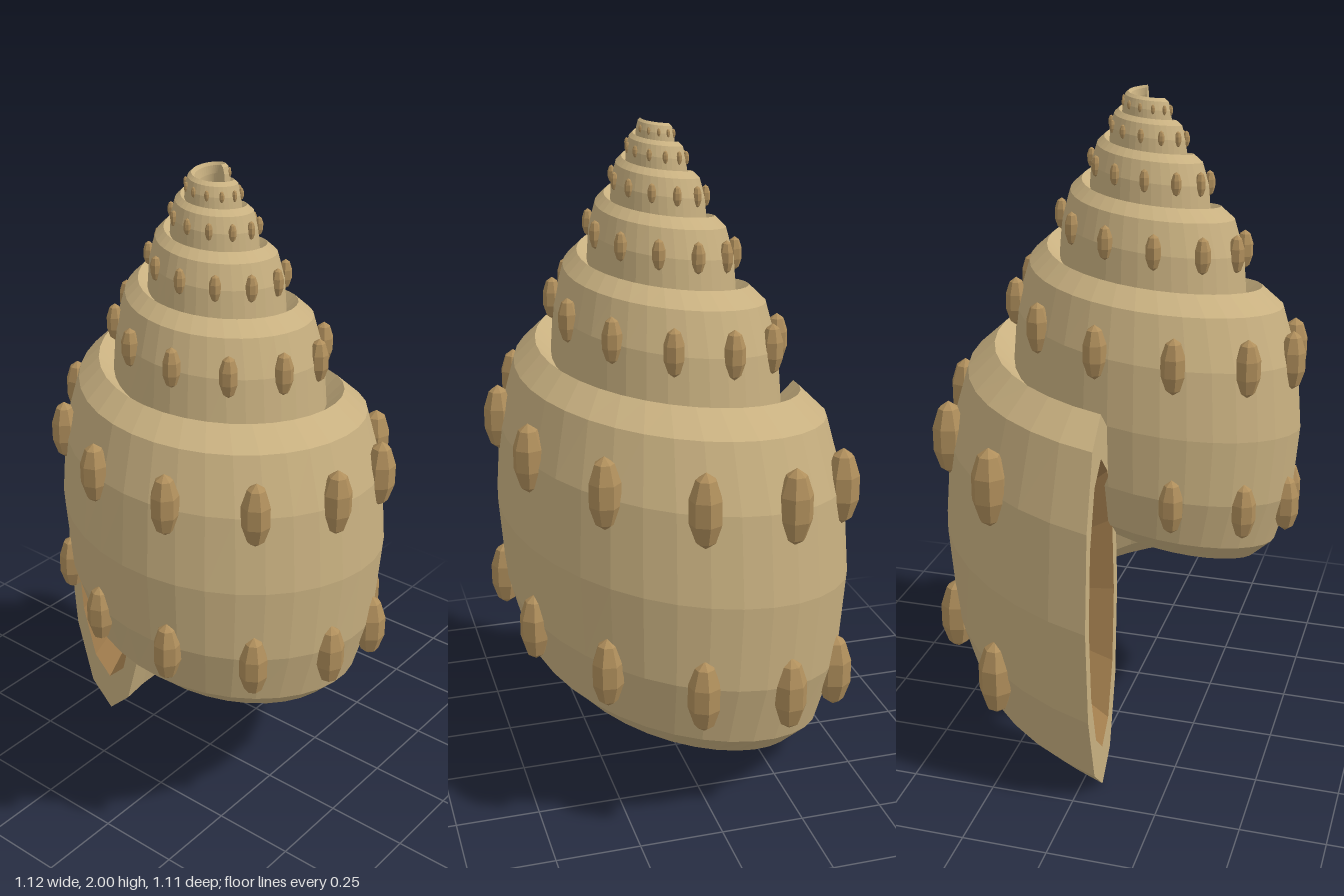
import * as THREE from 'three';

const TURNS = 5.5;            // whorls from mouth to tip
const RATIO = 0.636;          // shrink per turn
const AXIS = { x: 0.05, z: 0.06 };
const APEX = 2.075;           // height the spiral converges to
const RADIUS = 0.443, DROP = 1.48;   // section centre at the mouth
const A = 0.163, B = 0.595;   // half width and half height of the mouth
const DEPTH_STRETCH = 1.09;
const SIDES = 12;

const shrink = (turn) => Math.pow(RATIO, turn);

// Point on the spiral at a radius and drop given for the mouth
function spiral(turn, radius, drop) {
  const t = turn * Math.PI * 2, s = shrink(turn);
  return new THREE.Vector3(
    AXIS.x - s * radius * Math.cos(t),
    APEX - s * drop,
    AXIS.z - s * radius * Math.sin(t) * DEPTH_STRETCH
  );
}

// Elliptical section of the tube, optionally scaled and pushed back in z
function section(turn, scale = 1, depth = 0) {
  const ring = [];
  for (let j = 0; j < SIDES; j++) {
    const p = (j / SIDES) * Math.PI * 2;
    const v = spiral(turn, RADIUS + A * scale * Math.cos(p), DROP - B * scale * Math.sin(p));
    v.z -= depth;
    ring.push(v);
  }
  return ring;
}

// Skin a list of closed rings
function loft(rings) {
  const points = rings.flat(), index = [];
  for (let i = 0; i < rings.length - 1; i++) {
    for (let j = 0; j < SIDES; j++) {
      const k = (j + 1) % SIDES;
      const a = i * SIDES + j, b = i * SIDES + k;
      index.push(a, b, a + SIDES, b, b + SIDES, a + SIDES);
    }
  }
  const geometry = new THREE.BufferGeometry().setFromPoints(points);
  geometry.setIndex(index);
  geometry.computeVertexNormals();
  return geometry;
}

function material(color) {
  return new THREE.MeshStandardMaterial({ color, flatShading: true, side: THREE.DoubleSide });
}

export function createModel() {
  const model = new THREE.Group();
  model.name = 'spiralShell';
  const shellMaterial = material(0xc8b080);
  const knobMaterial = material(0xb08f5c);

  const add = (name, geometry, mat, parent = model) => {
    const mesh = new THREE.Mesh(geometry, mat);
    mesh.name = name;
    parent.add(mesh);
    return mesh;
  };

  // Coiled tube, closed at the tip
  const rings = [];
  const steps = Math.round(TURNS * 36);
  for (let i = 0; i <= steps; i++) rings.push(section((i / steps) * TURNS));
  rings.push(section(TURNS, 0));
  add('whorls', loft(rings), shellMaterial);

  // Flat lip around the mouth and the hollow behind it
  add('lip', loft([section(0, 0.78), section(0, 1)]), shellMaterial);
  add('mouthHollow', loft([
    section(0, 0, 0.2), section(0, 0.35, 0.17), section(0, 0.62, 0.1), section(0, 0.78),
  ]), material(0xa5804f));

  // Rows of knobs along the shoulder, and along the base of the last whorl
  const knobGeometry = new THREE.SphereGeometry(1, 7, 5);
  const addRow = (name, drop, count) => {
    const row = new THREE.Group();
    row.name = name;
    model.add(row);
    for (let i = 1; i <= count; i++) {
      const turn = (i / 65) * TURNS, s = shrink(turn);
      const knob = add('knob', knobGeometry, knobMaterial, row);
      knob.position.copy(spiral(turn, 0.588, drop));
      knob.rotation.y = -turn * Math.PI * 2;
      knob.scale.set(0.056 * s, 0.125 * s, 0.056 * s);
    }
  };
  addRow('shoulderKnobs', DROP - 0.316, 64);
  addRow('baseKnobs', DROP + 0.318, 11);

  return model;
}
